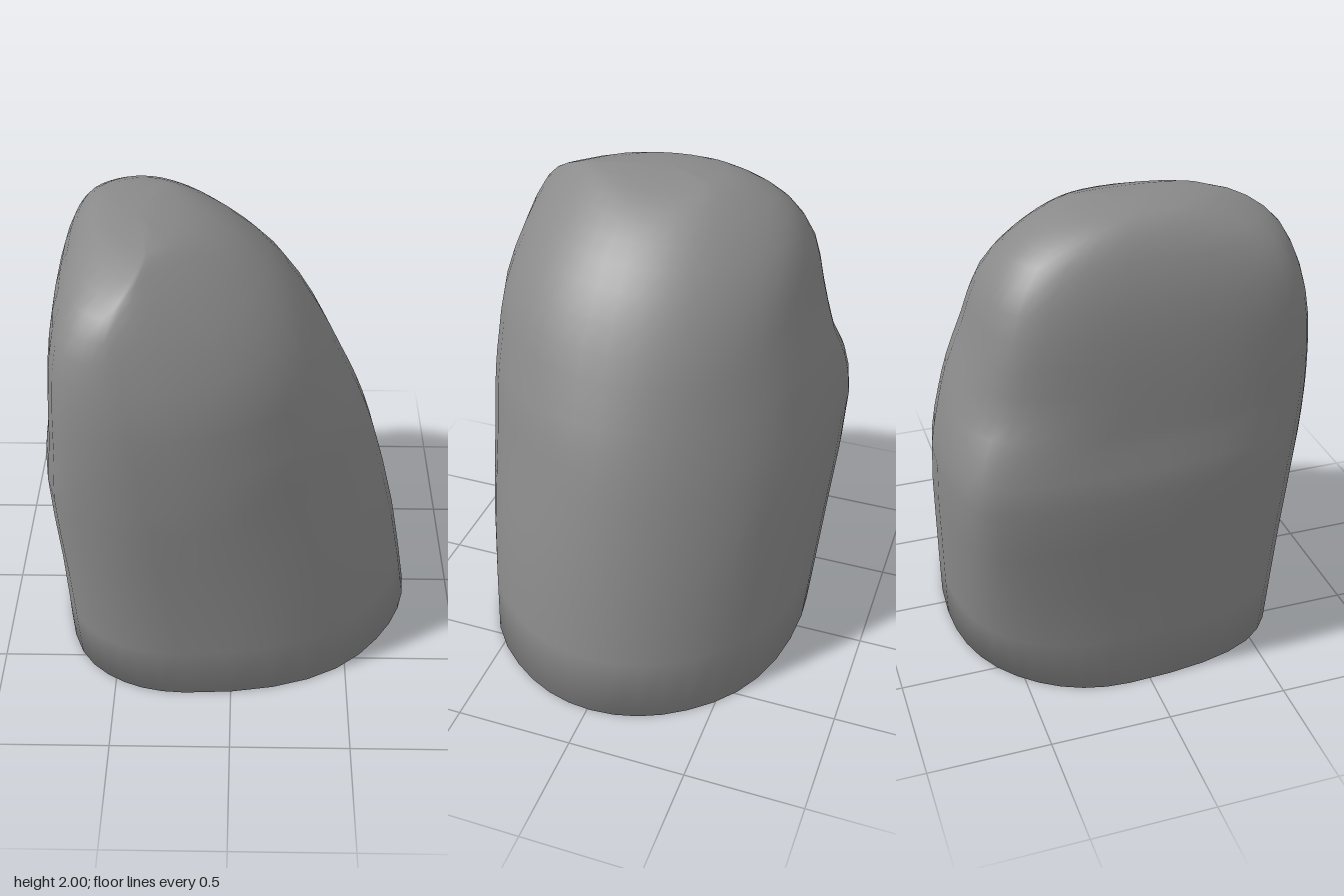
import * as THREE from 'three';

// Each row: height, then how far the section reaches in eight directions:
// +x, +x+z, +z, -x+z, -x, -x-z, -z, +x-z
const SECTIONS = [
  [0.00, 0.80, 0.74, 0.71, 0.82, 0.76, 0.78, 0.71, 0.76],
  [0.50, 0.715, 0.70, 0.73, 0.86, 0.775, 0.90, 0.74, 0.69],
  [0.95, 0.60, 0.62, 0.76, 0.90, 0.80, 0.985, 0.76, 0.59],
  [1.15, 0.53, 0.59, 0.76, 0.91, 0.765, 0.94, 0.73, 0.53],
  [1.30, 0.46, 0.55, 0.755, 0.91, 0.75, 0.86, 0.69, 0.48],
  [1.50, 0.36, 0.49, 0.735, 0.90, 0.73, 0.83, 0.62, 0.41],
  [1.70, 0.23, 0.37, 0.68, 0.86, 0.695, 0.78, 0.57, 0.30],
  [1.85, 0.07, 0.23, 0.61, 0.76, 0.64, 0.68, 0.47, 0.16],
  [1.94, -0.08, 0.12, 0.50, 0.61, 0.58, 0.55, 0.33, 0.04],
  [1.985, -0.22, 0.04, 0.36, 0.48, 0.51, 0.42, 0.19, -0.06],
];
// Where along each edge of the section the outline touches it
const TOUCH = [0.5, 0.5, 0.68, 0.5, 0.66, 0.5, 0.42, 0.5];
const APEX = new THREE.Vector3(-0.36, 2, 0.06);
const STEPS = 5; // points per rounded corner
const BANDS = 20; // bands from base to apex
const ROWS = BANDS + 1; // bands plus the inset ring under the base

// Rounded octagon touching all eight reach lines
function sectionPoints([y, ...reach]) {
  const corners = reach.map((h, i) => {
    const a = (i * Math.PI) / 4;
    const next = reach[(i + 1) % 8];
    const t = (next - h * Math.SQRT1_2) / Math.SQRT1_2;
    return new THREE.Vector3(
      h * Math.cos(a) - t * Math.sin(a), y, h * Math.sin(a) + t * Math.cos(a));
  });
  const touches = corners.map((corner, i) => corners[(i + 7) % 8].clone().lerp(corner, TOUCH[i]));
  return corners.flatMap((corner, i) =>
    new THREE.QuadraticBezierCurve3(touches[i], corner, touches[(i + 1) % 8])
      .getPoints(STEPS).slice(0, STEPS));
}

function boulderGeometry() {
  const rings = SECTIONS.map(sectionPoints);
  const sides = rings[0].length;
  const positions = [];
  const index = [];

  // Smooth ribs run from just under the rim, round the base edge, up to the apex
  for (let i = 0; i < sides; i++) {
    const rib = new THREE.CatmullRomCurve3([...rings.map((ring) => ring[i]), APEX]);
    const inset = rings[0][i].clone().multiplyScalar(0.8);
    [inset, ...rib.getPoints(BANDS).slice(0, BANDS)]
      .forEach((p) => positions.push(p.x, p.y, p.z));
  }
  const apex = sides * ROWS;
  const base = apex + 1;
  positions.push(APEX.x, APEX.y, APEX.z, 0, 0, 0);

  for (let i = 0; i < sides; i++) {
    const a = i * ROWS;
    const b = ((i + 1) % sides) * ROWS;
    for (let j = 0; j < ROWS - 1; j++) {
      index.push(a + j, a + j + 1, b + j, b + j, a + j + 1, b + j + 1);
    }
    index.push(a + ROWS - 1, apex, b + ROWS - 1); // crown
    index.push(base, a, b); // underside
  }

  const geometry = new THREE.BufferGeometry();
  geometry.setAttribute('position', new THREE.Float32BufferAttribute(positions, 3));
  geometry.setIndex(index);
  geometry.computeVertexNormals();
  return geometry;
}

export function createModel() {
  const group = new THREE.Group();
  group.name = 'rock';
  const boulder = new THREE.Mesh(
    boulderGeometry(), new THREE.MeshStandardMaterial({ color: 0x8a8a8a }));
  boulder.name = 'boulder';
  group.add(boulder);
  return group;
}
